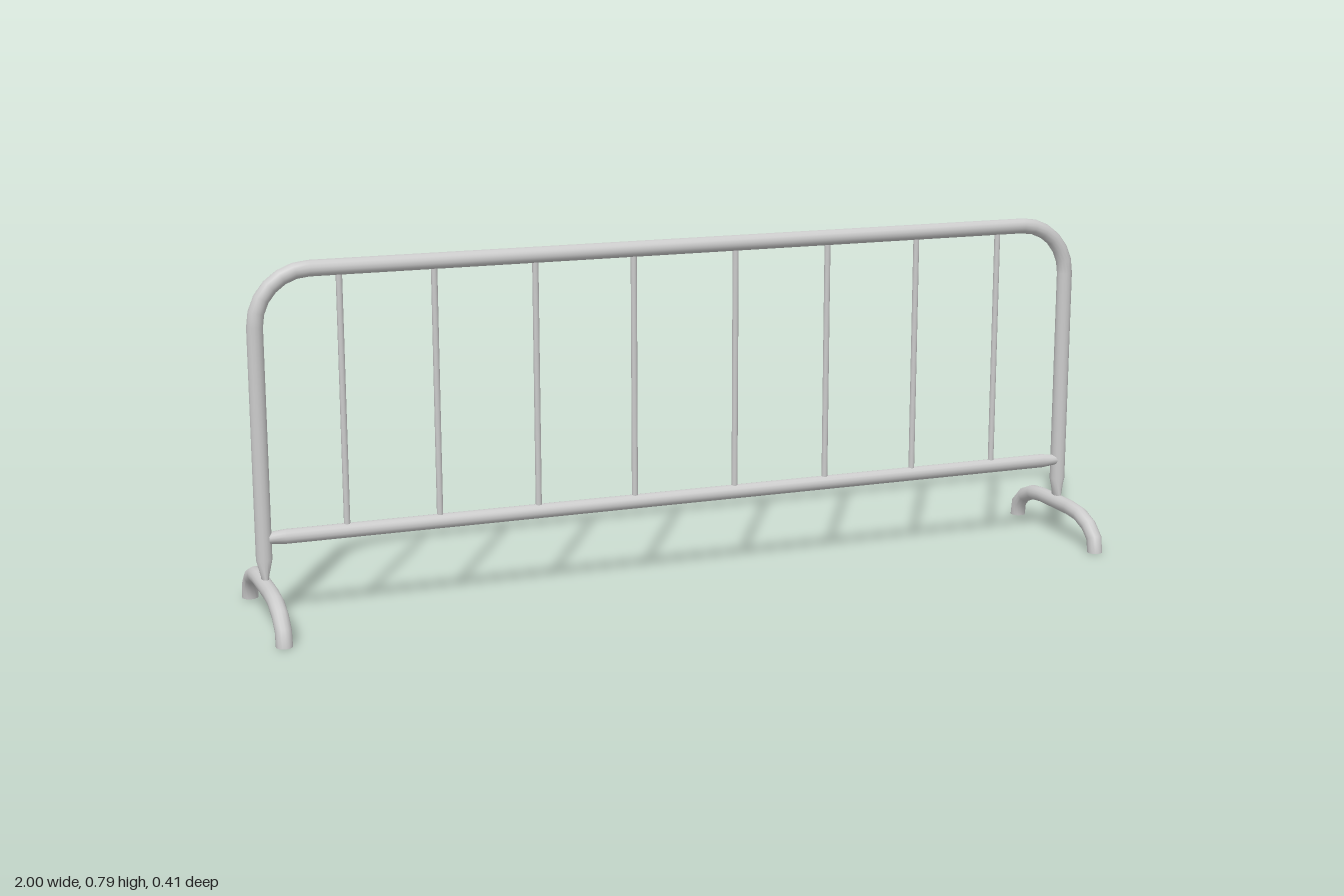
import * as THREE from 'three';

const V = (x, y, z) => new THREE.Vector3(x, y, z);
const material = new THREE.MeshStandardMaterial({ color: 0xcccccc });

// Mitred pipe along a planar path. Each point may carry a flattening factor
// for its in-plane radius; endDirs fixes the cut direction of the two ends.
function pipe(points, normal, radius, { sides = 14, flat = [], endDirs = [] } = {}) {
  const pos = [], index = [], last = points.length - 1;
  const ring = (p, t, rb) => {
    const b = normal.clone().cross(t);
    for (let j = 0; j < sides; j++) {
      const a = (j / sides) * Math.PI * 2;
      pos.push(...p.clone().addScaledVector(b, Math.cos(a) * rb).addScaledVector(normal, Math.sin(a) * radius));
    }
  };
  const rings = points.map((p, i) => {
    const before = i > 0 ? p.clone().sub(points[i - 1]).normalize() : null;
    const after = i < last ? points[i + 1].clone().sub(p).normalize() : null;
    let t = before && after ? before.clone().add(after).normalize() : (before || after).clone();
    if (i === 0 && endDirs[0]) t = endDirs[0];
    if (i === last && endDirs[1]) t = endDirs[1];
    return [p, t, radius * (flat[i] ?? 1) / t.dot(after || before)];
  });
  rings.forEach((r) => ring(...r));
  for (let i = 0; i < last; i++) {
    for (let j = 0; j < sides; j++) {
      const k = (j + 1) % sides;
      const a = i * sides + j, b = i * sides + k, c = a + sides, d = b + sides;
      index.push(a, b, c, b, d, c);
    }
  }
  // end caps with their own vertices, so the rims stay sharp
  for (const end of [0, last]) {
    const start = pos.length / 3;
    ring(...rings[end]);
    pos.push(...points[end]);
    for (let j = 0; j < sides; j++) {
      const a = start + j, b = start + ((j + 1) % sides);
      index.push(start + sides, ...(end ? [a, b] : [b, a]));
    }
  }
  const g = new THREE.BufferGeometry();
  g.setAttribute('position', new THREE.Float32BufferAttribute(pos, 3));
  g.setIndex(index);
  g.computeVertexNormals();
  return g;
}

export function createModel() {
  const group = new THREE.Group();
  const add = (name, geometry, x = 0, y = 0) => {
    const mesh = new THREE.Mesh(geometry, material);
    mesh.name = name;
    mesh.position.set(x, y, 0);
    group.add(mesh);
  };
  const up = V(0, 1, 0), down = V(0, -1, 0);
  const side = 0.982, top = 0.772, bend = 0.12, r = 0.018;

  // outer frame: two posts and the top rail in one bent pipe, pinched at the feet
  const half = [V(-side, 0.085, 0), V(-side, 0.1, 0), V(-side, 0.14, 0)];
  for (let i = 0; i <= 6; i++) {
    const a = (i / 6) * Math.PI / 2;
    half.push(V(-side + bend * (1 - Math.cos(a)), top - bend * (1 - Math.sin(a)), 0));
  }
  const frame = [...half, ...half.map((p) => V(-p.x, p.y, 0)).reverse()];
  const flat = frame.map(() => 1);
  flat[0] = flat[1] = flat[frame.length - 1] = flat[frame.length - 2] = 0.45;
  add('frame', pipe(frame, V(0, 0, 1), r, { flat, endDirs: [up, down] }));

  // lower rail with slightly flattened ends
  const rail = [-0.972, -0.962, -0.935, 0.935, 0.962, 0.972].map((x) => V(x, 0.187, 0));
  add('lowerRail', pipe(rail, V(0, 0, 1), 0.0165, { flat: [0.8, 0.8, 1, 1, 0.8, 0.8] }));

  // upright bars
  const bar = new THREE.CylinderGeometry(0.007, 0.007, top - 0.187, 10, 1, true);
  [-0.797, -0.587, -0.357, -0.126, 0.121, 0.351, 0.58, 0.795].forEach((x) => {
    add('bar', bar, x, (top + 0.187) / 2);
  });

  // arched feet
  const leg = [[0.188, 0], [0.183, 0.033], [0.156, 0.058], [0.114, 0.075], [0.066, 0.08]];
  const arch = [
    ...leg.map(([z, y]) => V(0, y, z)),
    ...leg.map(([z, y]) => V(0, y, -z)).reverse(),
  ];
  const foot = pipe(arch, V(1, 0, 0), r, { endDirs: [up, down] });
  add('leftFoot', foot, side);
  add('rightFoot', foot, -side);

  return group;
}
